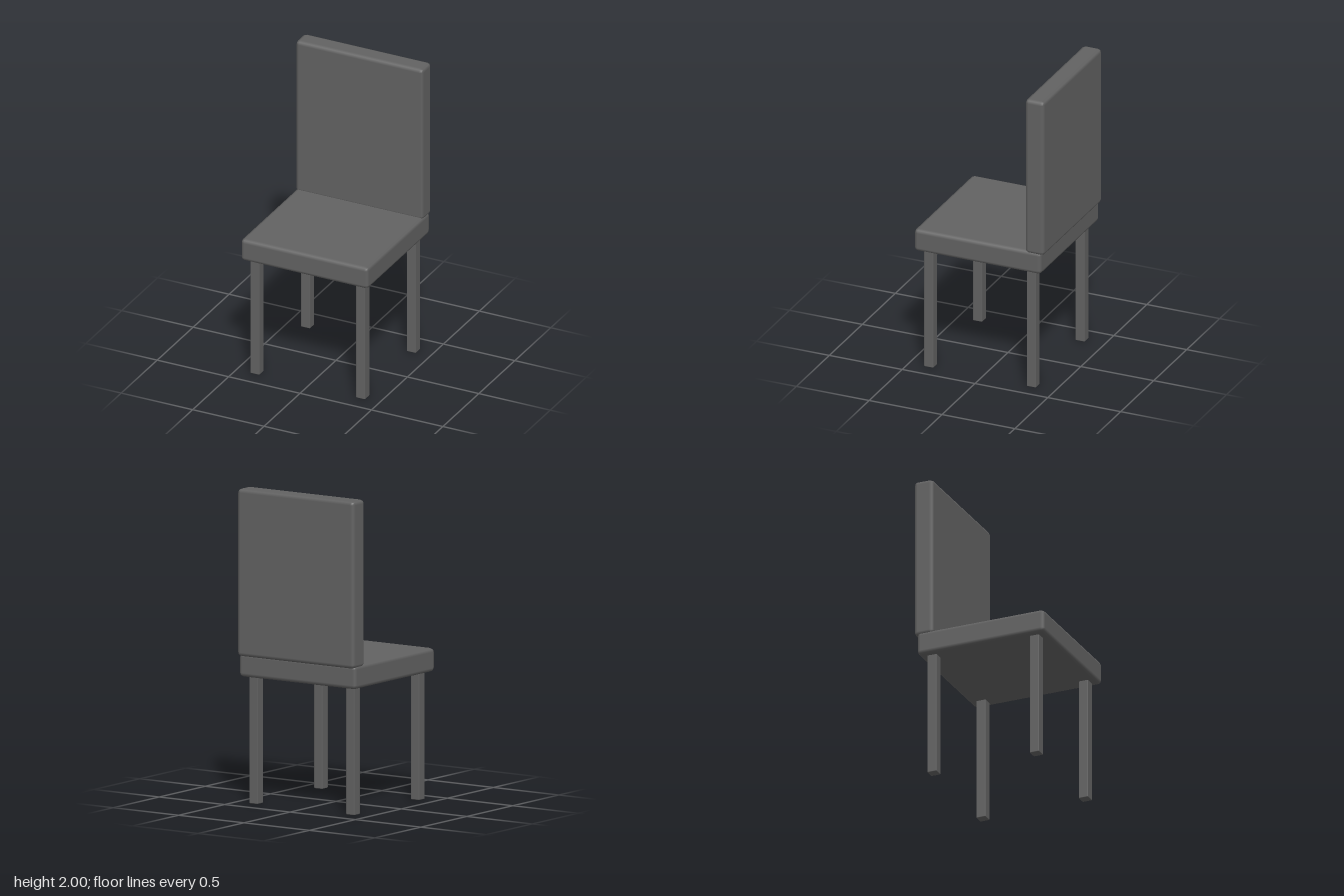
import * as THREE from 'three';
import { RoundedBoxGeometry } from 'three/addons/geometries/RoundedBoxGeometry.js';

export function createModel() {
  const chair = new THREE.Group();
  chair.name = 'chair';
  const charcoal = new THREE.MeshStandardMaterial({ color: 0x626262 });
  charcoal.name = 'charcoal';

  // Softly bevelled block given by its size and centre
  function block(name, size, centre, bevel) {
    const mesh = new THREE.Mesh(new RoundedBoxGeometry(...size, 1, bevel), charcoal);
    mesh.name = name;
    mesh.position.set(...centre);
    chair.add(mesh);
  }

  // Seat cushion and backrest, which overhangs the seat's rear edge
  block('seat', [0.892, 0.15, 0.872], [0, 0.881, 0.01], 0.025);
  block('backrest', [0.892, 1.062, 0.13], [0, 1.469, -0.381], 0.025);

  // Four straight square legs, reaching slightly into the seat
  for (const [end, z] of [['front', 0.363], ['rear', -0.341]]) {
    for (const [side, x] of [['Left', 0.37], ['Right', -0.37]]) {
      block(`${end}${side}Leg`, [0.064, 0.82, 0.064], [x, 0.41, z], 0.005);
    }
  }
  return chair;
}
